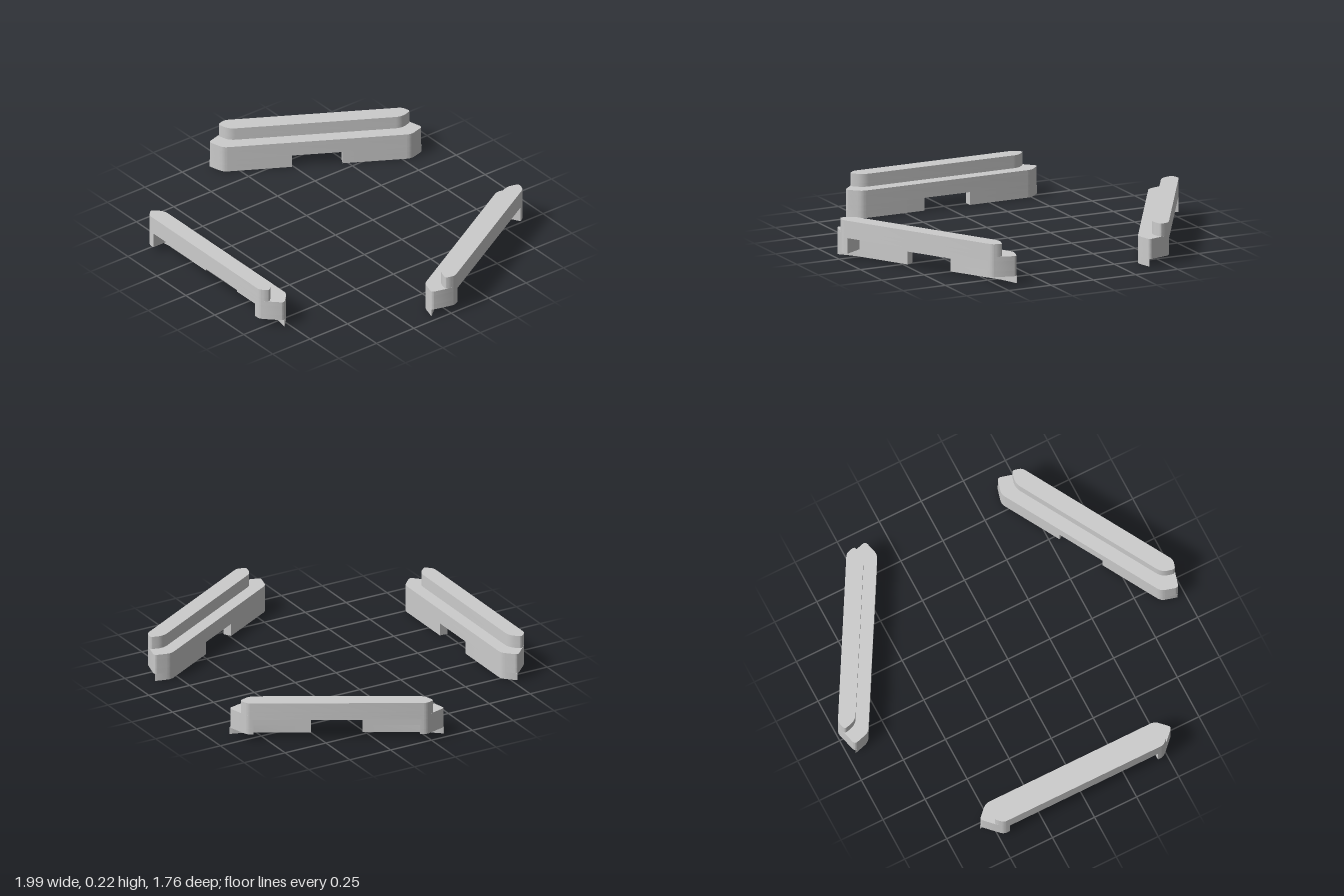
import * as THREE from 'three';
import { toCreasedNormals } from 'three/addons/utils/BufferGeometryUtils.js';

const material = new THREE.MeshStandardMaterial({ color: 0xcccccc });

// Plan outline from [x, z, cornerRadius] points, rounded at each corner
function plan(points) {
  const shape = new THREE.Shape();
  const n = points.length;
  points.forEach(([x, z, r = 0], i) => {
    const toward = ([px, pz]) => {
      const d = Math.hypot(px - x, pz - z);
      return [x + ((px - x) * r) / d, z + ((pz - z) * r) / d];
    };
    const a = toward(points[(i + n - 1) % n]);
    const b = toward(points[(i + 1) % n]);
    if (i === 0) shape.moveTo(...a);
    else shape.lineTo(...a);
    if (r > 0) shape.quadraticCurveTo(x, z, ...b);
  });
  shape.closePath();
  return shape;
}

const flip = (points) => points.map(([x, z, r]) => [-x, z, r]);
// Full outline from its right half
const mirrored = (half) => [...half, ...flip(half).reverse()];

// Slab of a plan between two heights
function slab(name, shape, y0, y1) {
  const geo = new THREE.ExtrudeGeometry(shape, { depth: y1 - y0, bevelEnabled: false, curveSegments: 8 });
  geo.rotateX(Math.PI / 2);
  geo.translate(0, y1, 0);
  const mesh = new THREE.Mesh(toCreasedNormals(geo, 0.5), material);
  mesh.name = name;
  return mesh;
}

function screwHole(x) {
  const hole = new THREE.Path();
  hole.absarc(x, 0.825, 0.016, 0, Math.PI * 2, true);
  return hole;
}

// Long round-ended groove in the underside of the roof
function groove() {
  const x = 0.4, z = 0.825, r = 0.022;
  const path = new THREE.Path();
  path.absarc(x, z, r, -Math.PI / 2, Math.PI / 2, false);
  path.absarc(-x, z, r, Math.PI / 2, Math.PI * 1.5, false);
  path.closePath();
  return path;
}

const BACK = 0.715, WALL = 0.762, FRONT = 0.877;
const NOTCH = 0.135, RECESS = 0.44;

function createBar() {
  const bar = new THREE.Group();

  const end = [[0.502, BACK, 0.025], [0.57, 0.782, 0.02], [0.475, FRONT, 0.02]];
  const inner = [[RECESS, FRONT], [RECESS, WALL]];
  const foot = [[0.5, WALL], [0.557, 0.788]];

  // Two skirts and two feet, either side of the central notch
  for (const side of [1, -1]) {
    const place = (pts) => plan(side > 0 ? pts : flip(pts));
    const skirt = [[NOTCH, BACK], end[0], [0.57, 0.782, 0.01], [0.5, 0.768, 0.04], [0.45, WALL], [NOTCH, WALL]];
    bar.add(slab('skirt', place(skirt), 0, 0.04));
    const footPlan = place([[NOTCH, BACK], ...end, ...inner, [NOTCH, WALL]]);
    footPlan.holes.push(screwHole(side * 0.48));
    bar.add(slab('foot', footPlan, 0.04, 0.07));
  }

  // Wall above the notch, joined to both feet
  const wall = plan(mirrored([...end, ...inner]));
  wall.holes.push(screwHole(0.48), screwHole(-0.48));
  bar.add(slab('wall', wall, 0.07, 0.125));

  // Roof over the recess
  const roof = plan(mirrored(end));
  roof.holes.push(groove());
  bar.add(slab('roof', roof, 0.125, 0.15));

  // Raised ridge along the outer edge, hollow below where the groove runs
  const ridge = mirrored([[0.462, 0.785, 0.035], [0.513, 0.838, 0.016], [0.475, FRONT, 0.02]]);
  const lowerRidge = plan(ridge);
  lowerRidge.holes.push(groove());
  bar.add(slab('ridgeBase', lowerRidge, 0.15, 0.17));
  bar.add(slab('ridge', plan(ridge), 0.17, 0.22));
  return bar;
}

export function createModel() {
  const model = new THREE.Group();
  model.name = 'bracketSet';
  // Three equal bars spaced around the centre
  ['frontBar', 'leftBar', 'rightBar'].forEach((name, i) => {
    const bar = createBar();
    bar.name = name;
    bar.rotation.y = (i * Math.PI * 2) / 3;
    model.add(bar);
  });
  return model;
}
